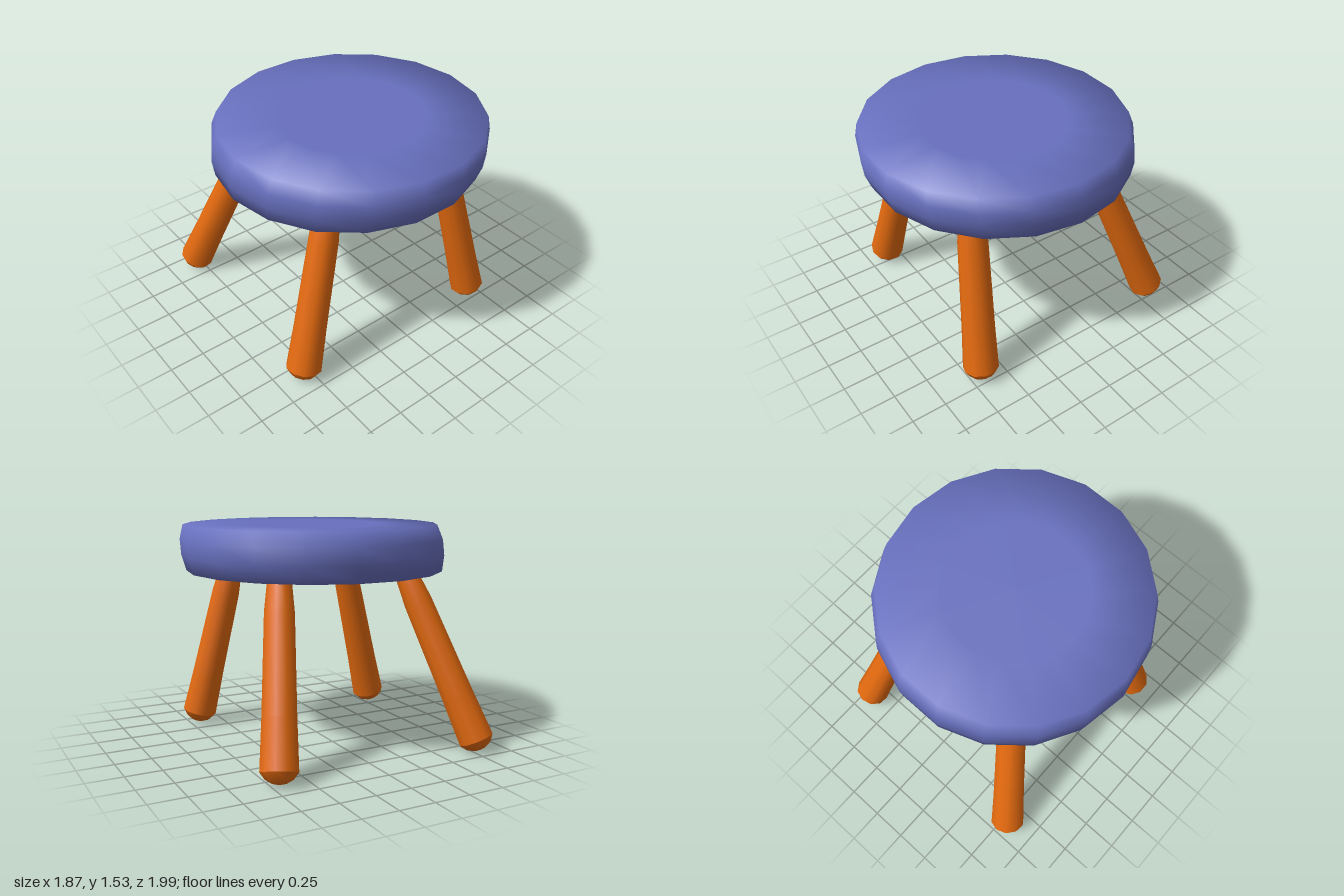
import * as THREE from 'three';

const blue = new THREE.MeshStandardMaterial({ color: 0x6870be });
blue.name = 'seatBlue';
const orange = new THREE.MeshStandardMaterial({ color: 0xe2690f });
orange.name = 'legOrange';

const lathe = (points, sides, start = 0) =>
  new THREE.LatheGeometry(points.map(([r, y]) => new THREE.Vector2(r, y)), sides, start);

// Flat 18-sided cushion, leaning slightly forward, with softly rounded shading
function makeSeat() {
  // radius, height, slope of the normal in degrees
  const profile = [
    [0, 1.22, -90], [0.5, 1.22, -90], [0.91, 1.22, -50], [0.935, 1.33, -12],
    [0.935, 1.44, 12], [0.905, 1.54, 50], [0.5, 1.54, 90], [0, 1.54, 90],
  ];
  const sides = 18;
  const start = Math.PI / sides;
  const geo = lathe(profile, sides, start);
  const pos = geo.attributes.position;
  for (let i = 0; i < pos.count; i++) {
    const slope = THREE.MathUtils.degToRad(profile[i % profile.length][2]);
    const a = start + Math.floor(i / profile.length) * 2 * Math.PI / sides;
    geo.attributes.normal.setXYZ(i, Math.sin(a) * Math.cos(slope), Math.sin(slope), Math.cos(a) * Math.cos(slope));
    const t = (pos.getY(i) - 1.22) / 0.32;
    pos.setX(i, pos.getX(i) - 0.008 + 0.01 * t);
    pos.setZ(i, pos.getZ(i) + 0.045 + 0.045 * t);
  }
  const seat = new THREE.Mesh(geo, blue);
  seat.name = 'seat';
  return seat;
}

// Tapered splayed leg from the foot rim up into the seat, with a blunt foot
function makeLeg(name, fx, fz, tx, tz) {
  const foot = new THREE.Vector3(fx, 0.088, fz);
  const axis = new THREE.Vector3(tx, 1.22, tz).sub(foot);
  const len = axis.length();
  const leg = new THREE.Group();
  leg.name = name;
  const shaft = new THREE.Mesh(lathe([
    [0.124, 0], [0.113, len * 0.27], [0.1, len * 0.82], [0.08, len], [0.075, len + 0.05], [0, len + 0.06],
  ], 10), orange);
  shaft.name = 'legShaft';
  const tip = new THREE.Mesh(lathe([[0, -0.078], [0.045, -0.07], [0.09, -0.045], [0.124, 0]], 10), orange);
  tip.name = 'footTip';
  leg.add(shaft, tip);
  leg.position.copy(foot);
  leg.quaternion.setFromUnitVectors(new THREE.Vector3(0, 1, 0), axis.normalize());
  return leg;
}

export function createModel() {
  const stool = new THREE.Group();
  stool.name = 'stool';
  stool.add(
    makeSeat(),
    // name, foot x, foot z, top x, top z
    makeLeg('frontRightLeg', -0.805, 0.60, -0.49, 0.48),
    makeLeg('frontLeftLeg', 0.67, 0.665, 0.425, 0.555),
    makeLeg('backRightLeg', -0.785, -0.88, -0.455, -0.46),
    makeLeg('backLeftLeg', 0.69, -0.83, 0.475, -0.395),
  );
  return stool;
}
